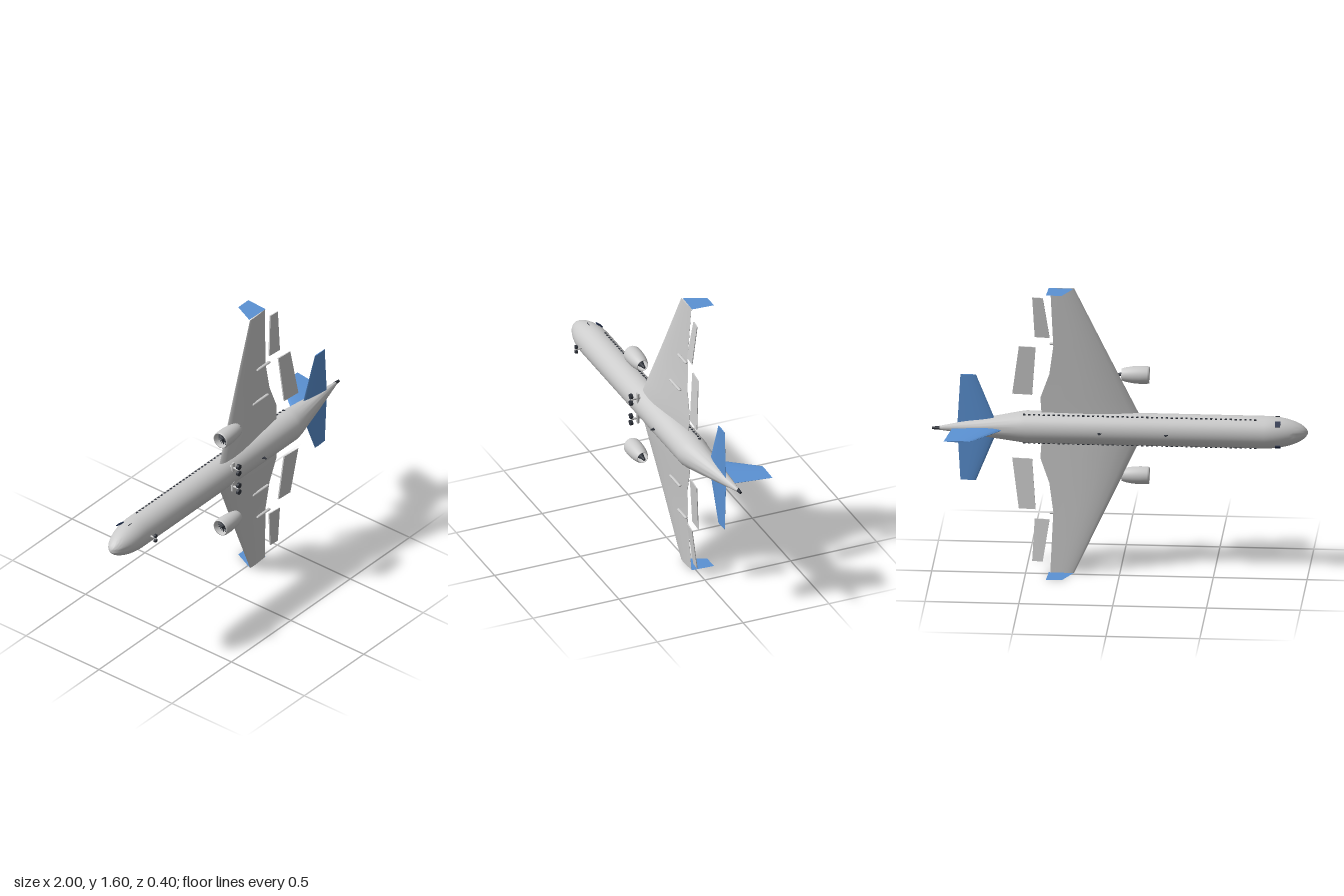
import * as THREE from 'three';
import { mergeGeometries, toCreasedNormals } from 'three/addons/utils/BufferGeometryUtils.js';

// Lengthwise axis is x (nose at -x), span is y, underside faces +z.
const mat = (color) => new THREE.MeshStandardMaterial({ color });
const grey = mat(0xcccccc);
const blue = mat(0x5b92d4);
const dark = mat(0x30343c);
const navy = mat(0x1c2a48);

// Skin a list of equal-length rings, cap both ends and face it outwards
function loft(rings, crease = 0.6) {
  const n = rings[0].length, idx = [];
  const pts = rings.flat().map((p) => new THREE.Vector3(...p));
  for (let i = 0; i < rings.length - 1; i++)
    for (let j = 0; j < n; j++) {
      const a = i * n + j, b = i * n + (j + 1) % n;
      idx.push(a, b, a + n, b, b + n, a + n);
    }
  const last = (rings.length - 1) * n;
  for (let j = 1; j < n - 1; j++) {
    idx.push(0, j + 1, j);
    idx.push(last, last + j, last + j + 1);
  }
  let volume = 0;
  const c = new THREE.Vector3();
  for (let i = 0; i < idx.length; i += 3)
    volume += pts[idx[i]].dot(c.crossVectors(pts[idx[i + 1]], pts[idx[i + 2]]));
  if (volume < 0) idx.reverse();
  const g = new THREE.BufferGeometry().setFromPoints(pts);
  g.setIndex(idx);
  return toCreasedNormals(g, crease);
}

// Unit aerofoil outline: [chord fraction, half thickness]
const half = [[0.02, 0.35], [0.08, 0.65], [0.2, 0.93], [0.35, 1], [0.55, 0.82], [0.8, 0.4]];
const foil = [[0, 0], ...half, [1, 0.06], [1, -0.06],
  ...half.map(([u, t]) => [u, -t]).reverse()];

// Section: position along span, front x, back x, front z, back z, half thickness
const foilRing = (s, [y, x0, x1, z0, z1, t]) =>
  foil.map(([u, h]) => [x0 + (x1 - x0) * u, s * y, z0 + (z1 - z0) * u + h * t]);

function box(w, h, d, x, y, z) {
  return new THREE.BoxGeometry(w, h, d).translate(x, y, z);
}

export function createModel() {
  const plane = new THREE.Group();
  plane.name = 'airliner';
  const add = (name, geometry, material = grey, parent = plane) => {
    const m = new THREE.Mesh(geometry, material);
    m.name = name;
    parent.add(m);
    return m;
  };

  // Fuselage: rounded nose, straight barrel, upswept tail cone
  const stations = [];
  for (let i = 0; i <= 12; i++) {
    const t = Math.max((i / 12) ** 1.6, 0.0008);
    stations.push([-1 + 0.23 * t, 0.079 - 0.01 * t, 0.087 * (1 - (1 - t) ** 2) ** 0.57]);
  }
  stations.push([-0.1, 0.069, 0.087], [0.5, 0.069, 0.087], [0.54, 0.068, 0.081],
    [0.75, 0.044, 0.046], [0.97, 0.016, 0.009]);
  add('fuselage', loft(stations.map(([x, cz, r]) => Array.from({ length: 40 }, (_, j) => {
    const a = j / 40 * Math.PI * 2;
    return [x, r * Math.cos(a), cz + r * Math.sin(a)];
  }))));
  add('tailExhaust', new THREE.CylinderGeometry(0.007, 0.01, 0.04, 16)
    .rotateZ(-Math.PI / 2).translate(0.98, 0, 0.014), dark);

  // Tail fin
  const fin = [[0.03, 0.6, 0.89, 0.012], [-0.205, 0.785, 0.922, 0.004]];
  add('tailFin', loft(fin.map(([z, x0, x1, t]) =>
    foil.map(([u, h]) => [x0 + (x1 - x0) * u, h * t, z]))), blue);

  // Small blade aerials above and below
  const aerial = new THREE.Shape([[-0.012, 0], [0.012, 0], [0.004, 0.024], [-0.001, 0.024]]
    .map((p) => new THREE.Vector2(...p)));
  for (const [x, z, dir] of [[-0.25, -0.016, -1], [0.105, -0.016, -1], [0.19, 0.154, 1]]) {
    const g = new THREE.ExtrudeGeometry(aerial, { depth: 0.004, bevelEnabled: false });
    add('aerial', g.translate(0, 0, -0.002).rotateX(dir * Math.PI / 2).translate(x, 0, z), dark);
  }

  for (const s of [1, -1]) {
    const side = new THREE.Group();
    side.name = s > 0 ? 'upperHalf' : 'lowerHalf';
    plane.add(side);

    // Swept wing with a kinked trailing edge
    add('wing', loft([
      [0.03, -0.12, 0.42, 0.094, 0.06, 0.026],
      [0.09, -0.093, 0.42, 0.09, 0.058, 0.025],
      [0.17, -0.055, 0.425, 0.082, 0.054, 0.022],
      [0.305, 0.009, 0.377, 0.068, 0.046, 0.016],
      [0.465, 0.085, 0.355, 0.052, 0.037, 0.011],
      [0.8, 0.243, 0.37, 0.022, 0.02, 0.004],
    ].map((r) => foilRing(s, r))), grey);

    // Flat winglet
    const winglet = new THREE.Shape([[0.245, 0.015], [0.3, -0.105], [0.385, -0.105], [0.378, 0.02]]
      .map((p) => new THREE.Vector2(...p)));
    const wingletMat = mat(0x5b92d4);
    wingletMat.side = THREE.DoubleSide;
    add('winglet', new THREE.ShapeGeometry(winglet).rotateX(Math.PI / 2)
      .translate(0, s * 0.799, 0), wingletMat);

    // Extended flaps behind the wing
    const flaps = [
      [[0.18, 0.47, 0.577, 0.07, 0.08], [0.455, 0.45, 0.54, 0.047, 0.055]],
      [[0.51, 0.375, 0.455, 0.045, 0.053], [0.74, 0.41, 0.467, 0.023, 0.029]],
    ];
    for (const f of flaps)
      add('flap', loft(f.map(([y, x0, x1, z0, z1]) => [
        [x0, s * y, z0 - 0.004], [x1, s * y, z1 - 0.002],
        [x1, s * y, z1 + 0.002], [x0, s * y, z0 + 0.004]])));

    // Flap track fairings
    for (const [x, y, z, len] of [[0.272, 0.293, 0.07, 0.135], [0.32, 0.475, 0.05, 0.112]])
      add('flapTrackFairing', new THREE.CapsuleGeometry(0.006, len - 0.012, 4, 10)
        .rotateZ(Math.PI / 2).scale(1, 1, 1.5).translate(x, s * y, z));

    // Horizontal tailplane
    add('tailplane', loft([
      [0.02, 0.655, 0.866, 0.04, 0.04, 0.008],
      [0.296, 0.767, 0.85, 0.04, 0.04, 0.003],
    ].map((r) => foilRing(s, r))), blue);

    // Engine: open nacelle, bladed fan, core and exhaust cone
    const engine = new THREE.Group();
    engine.name = 'engine';
    engine.position.set(-0.15, s * 0.282, 0.137);
    side.add(engine);
    const spin = (profile) => new THREE.LatheGeometry(
      profile.map((p) => new THREE.Vector2(...p)), 32).rotateZ(-Math.PI / 2);
    const skin = mat(0xcccccc);
    skin.side = THREE.DoubleSide;
    add('nacelle', spin([[0.037, 0.06], [0.038, 0.02], [0.041, 0.002], [0.044, 0], [0.047, 0.01],
      [0.048, 0.05], [0.045, 0.09], [0.039, 0.125], [0.032, 0.148], [0.029, 0.148],
      [0.035, 0.1], [0.037, 0.06]]), skin, engine);
    const blades = [];
    for (let i = 0; i < 18; i++)
      blades.push(new THREE.BoxGeometry(0.003, 0.03, 0.006).rotateY(0.6)
        .translate(0, 0.023, 0).rotateX(i / 18 * Math.PI * 2).translate(0.03, 0, 0));
    add('fanBlades', mergeGeometries(blades), dark, engine);
    add('fanBackplate', new THREE.CylinderGeometry(0.036, 0.036, 0.004, 32)
      .rotateZ(Math.PI / 2).translate(0.05, 0, 0), dark, engine);
    add('engineCore', spin([[0, 0.008], [0.007, 0.018], [0.012, 0.035], [0.02, 0.08],
      [0.02, 0.11], [0.01, 0.15], [0.007, 0.17], [0, 0.17]]), dark, engine);

    // Main landing gear
    for (const y of [0.04, 0.08])
      add('mainWheel', new THREE.CylinderGeometry(0.015, 0.015, 0.014, 20)
        .rotateX(Math.PI / 2).translate(-0.05, s * y, 0.184), dark, side);
    add('mainAxle', box(0.008, 0.05, 0.006, -0.05, s * 0.06, 0.18), dark, side);
    add('mainStrut', new THREE.CylinderGeometry(0.006, 0.006, 0.07, 12)
      .rotateX(Math.PI / 2).translate(-0.05, s * 0.06, 0.15), grey, side);
    add('gearDoor', box(0.02, 0.055, 0.01, -0.05, s * 0.062, 0.145), grey, side);

    // Nose wheels
    add('noseWheel', new THREE.CylinderGeometry(0.011, 0.011, 0.012, 16)
      .rotateX(Math.PI / 2).translate(-0.755, s * 0.014, 0.188), dark, side);

    // Cabin windows, cockpit window and probe
    const windows = [];
    for (let i = 0; i < 48; i++)
      windows.push(box(0.012, 0.006, 0.016, -0.722 + i * 0.0262, s * 0.0785, 0.036));
    add('cabinWindows', mergeGeometries(windows), dark, side);
    add('cockpitWindow', box(0.028, 0.006, 0.036, 0, 0, 0)
      .rotateX(s * -0.66).translate(-0.842, s * 0.0635, 0.015), navy, side);
    add('probe', box(0.025, 0.003, 0.003, -0.838, s * 0.086, 0.08), dark, side);
  }

  // Nose gear leg
  add('noseStrut', new THREE.CylinderGeometry(0.005, 0.005, 0.05, 12)
    .rotateX(Math.PI / 2).translate(-0.755, 0, 0.17), grey);
  add('noseAxle', box(0.006, 0.03, 0.006, -0.755, 0, 0.188), dark);

  plane.position.y = 0.8;
  const root = new THREE.Group();
  root.name = 'model';
  root.add(plane);
  return root;
}
